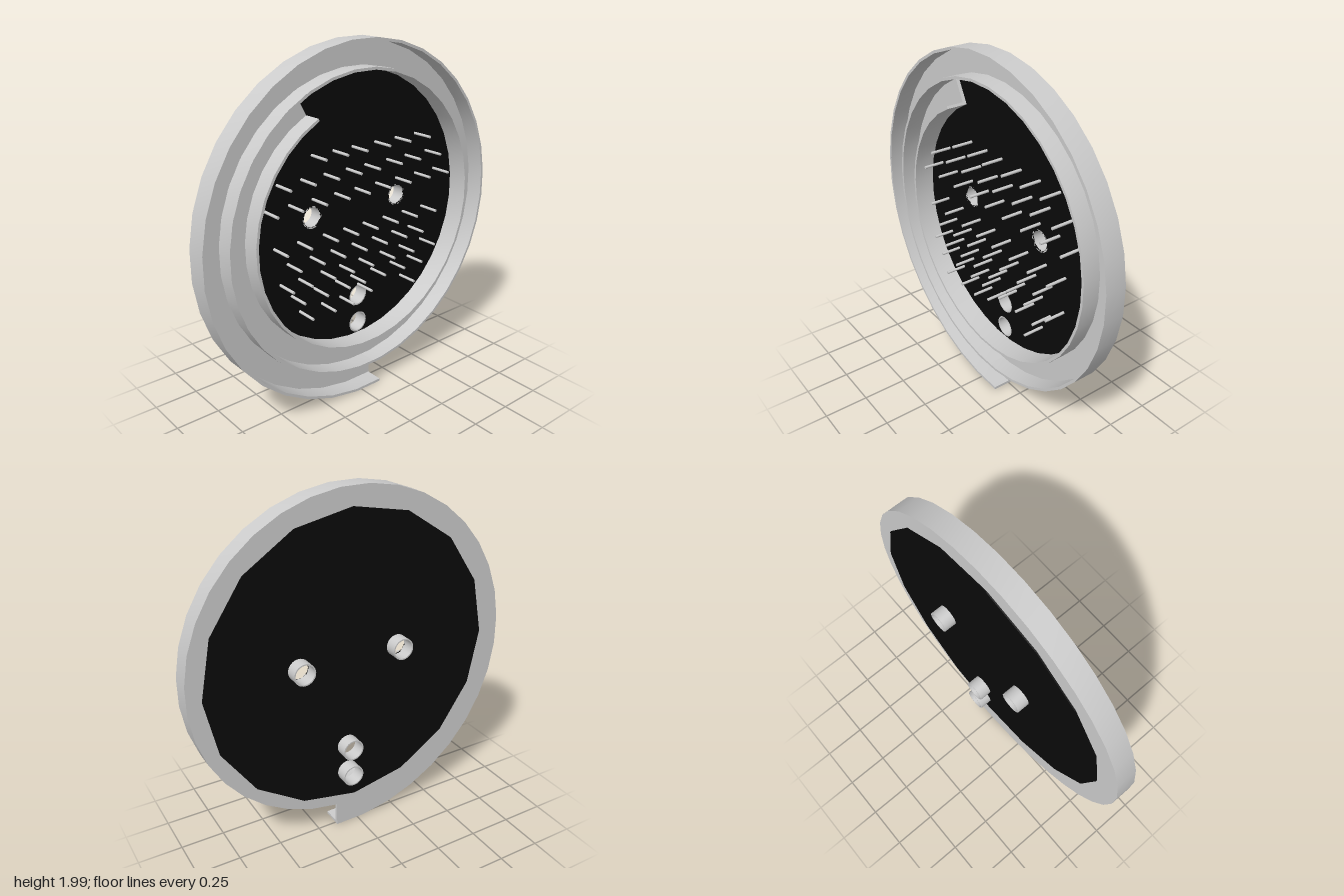
import * as THREE from 'three';
import { toCreasedNormals } from 'three/addons/utils/BufferGeometryUtils.js';

const grey = new THREE.MeshStandardMaterial({ color: 0xcccccc });
const black = new THREE.MeshStandardMaterial({ color: 0x0a0a0a });
const CX = 0.035, CY = 1.036;       // spiral centre
const R0 = 1.036, PITCH = 0.145;    // radius at the bottom, shrink per turn
const rad = THREE.MathUtils.degToRad;

// U-shaped channel swept along a flat spiral: [inward offset, z]
function spiralChannel() {
  const section = [[0, -0.02], [0, 0.1], [0.015, 0.1], [0.015, 0],
    [0.145, 0], [0.145, 0.1], [0.16, 0.1], [0.16, -0.02]];
  const n = section.length, steps = 52, start = rad(-5.7), end = rad(512);
  const pos = [], index = [];
  for (let i = 0; i <= steps; i++) {
    const a = start + (end - start) * i / steps;
    const r = R0 - PITCH * a / (2 * Math.PI);
    const dir = i === 0 ? 0 : a;    // the outer end is cut upright
    for (const [d, z] of section) {
      pos.push(CX - Math.sin(a) * r + Math.sin(dir) * d,
        CY - Math.cos(a) * r + Math.cos(dir) * d, z);
    }
  }
  for (let i = 0; i < steps; i++) {
    for (let j = 0; j < n; j++) {
      const a = i * n + j, b = i * n + (j + 1) % n;
      index.push(a, b, b + n, a, b + n, a + n);
    }
  }
  // end caps: two walls and the floor
  const last = steps * n;
  for (const [a, b, c, d] of [[0, 1, 2, 3], [0, 3, 4, 7], [4, 5, 6, 7]]) {
    index.push(a, c, b, a, d, c);
    index.push(last + a, last + b, last + c, last + a, last + c, last + d);
  }
  const geo = new THREE.BufferGeometry();
  geo.setAttribute('position', new THREE.Float32BufferAttribute(pos, 3));
  geo.setIndex(index);
  return toCreasedNormals(geo, rad(35));
}

// Thin 16-sided plate with round holes
function backPlate(holes) {
  const shape = new THREE.Shape();
  for (let i = 0; i < 16; i++) {
    const a = i * Math.PI / 8;
    const x = 0.025 + 0.855 * Math.cos(a), y = 1.045 + 0.85 * Math.sin(a);
    if (i === 0) shape.moveTo(x, y); else shape.lineTo(x, y);
  }
  shape.closePath();
  for (const [x, y, r] of holes) {
    shape.holes.push(new THREE.Path().absarc(x, y, r, 0, Math.PI * 2, true));
  }
  return new THREE.ExtrudeGeometry(shape, { depth: 0.007, bevelEnabled: false, curveSegments: 16 })
    .translate(0, 0, -0.028);
}

// Open pipe with wall thickness, running along z
function pipe(rOut, rIn, z0, z1) {
  const profile = [[rIn, z0], [rOut, z0], [rOut, z1], [rIn, z1], [rIn, z0]]
    .map(([r, z]) => new THREE.Vector2(r, z));
  const geo = new THREE.LatheGeometry(profile, 32).rotateX(Math.PI / 2);
  return toCreasedNormals(geo, rad(35));
}

export function createModel() {
  const model = new THREE.Group();
  const add = (name, geo, mat, x = 0, y = 0, z = 0, parent = model) => {
    const mesh = new THREE.Mesh(geo, mat);
    mesh.name = name;
    mesh.position.set(x, y, z);
    parent.add(mesh);
    return mesh;
  };

  add('spiralChannel', spiralChannel(), grey);

  // holes: x, y, radius in the plate
  const holes = [[-0.245, 1.09, 0.055], [0.355, 1.09, 0.055],
    [0.07, 0.543, 0.0625], [0.07, 0.372, 0.0625]];
  add('backPlate', backPlate(holes), black);

  // short pipes behind each hole
  const pipeGeo = pipe(0.0625, 0.055, -0.1, -0.021);
  holes.forEach(([x, y], i) => add(`pipe${i + 1}`, pipeGeo, grey, x, y));

  // rows of thin pins standing on the plate: y, then x positions
  const rows = [
    [1.425, [-0.24, -0.10, 0.03, 0.19, 0.34, 0.49]],
    [1.31, [-0.46, -0.31, -0.16, -0.01, 0.12, 0.28, 0.42, 0.58]],
    [1.19, [-0.54, -0.39, -0.24, -0.09, 0.05, 0.20, 0.35, 0.50, 0.65]],
    [0.975, [-0.49, -0.34, -0.17, -0.03, 0.11, 0.26, 0.41, 0.56]],
    [0.87, [-0.41, -0.26, -0.12, 0.03, 0.18, 0.33, 0.46]],
    [0.765, [-0.46, -0.34, -0.19, -0.06, 0.08, 0.24, 0.39, 0.56]],
    [0.68, [-0.39, -0.24, -0.09, 0.02, 0.17, 0.32, 0.46]],
    [0.613, [0.07]],
    [0.573, [-0.34, -0.19, -0.06, 0.40]],
  ];
  const pins = new THREE.Group();
  pins.name = 'pins';
  model.add(pins);
  const pinGeo = new THREE.CylinderGeometry(0.008, 0.008, 0.122, 10).rotateX(Math.PI / 2);
  for (const [y, xs] of rows) {
    for (const x of xs) add('pin', pinGeo, grey, x, y, 0.039, pins);
  }
  return model;
}
